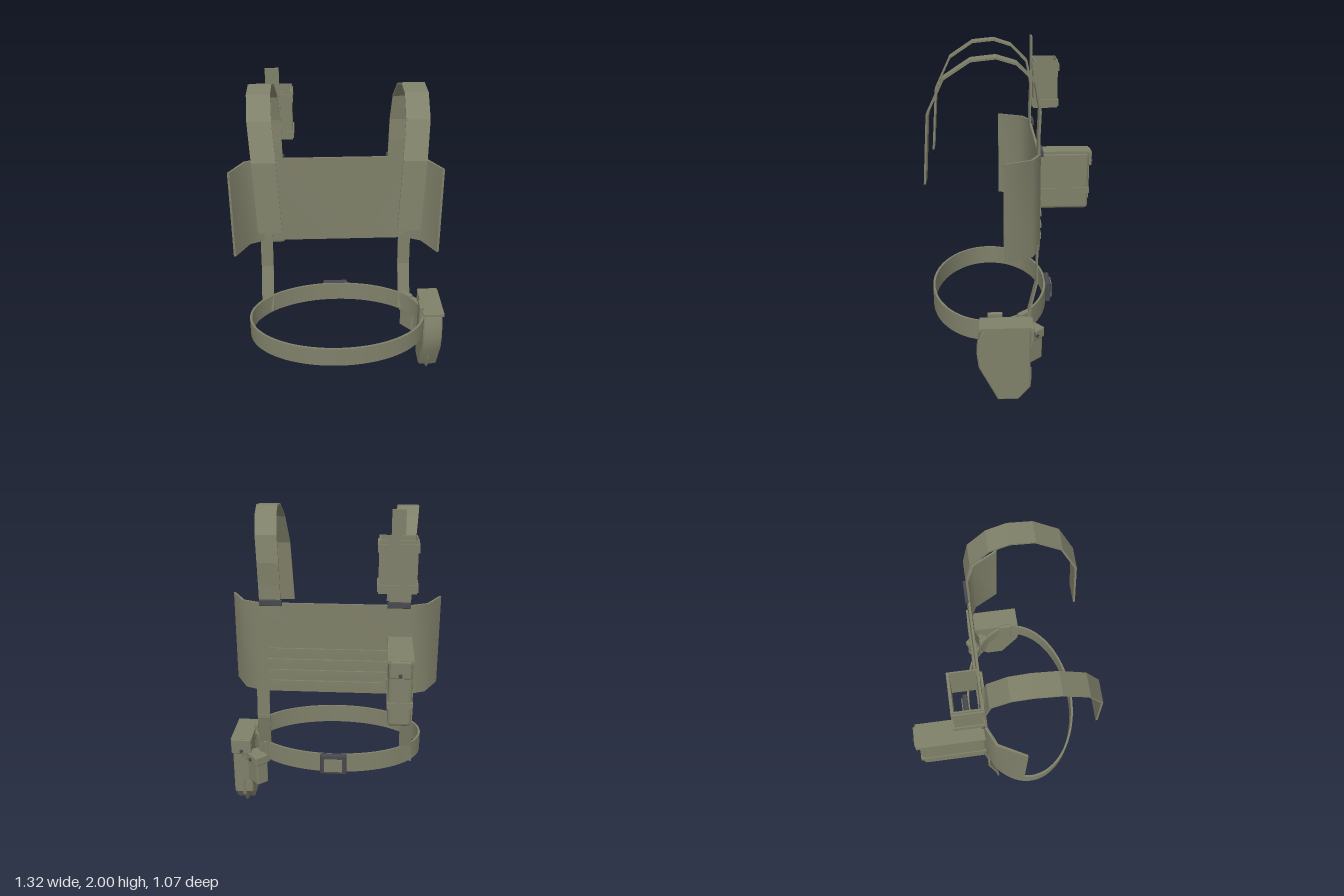
import * as THREE from 'three';
import { toCreasedNormals } from 'three/addons/utils/BufferGeometryUtils.js';
import { RoundedBoxGeometry } from 'three/addons/geometries/RoundedBoxGeometry.js';

const CX = -0.023; // mirror plane of the harness

export function createModel() {
  const model = new THREE.Group();
  const canvas = new THREE.MeshStandardMaterial({ color: 0x7f8069 });
  canvas.name = 'olive canvas';
  const metal = new THREE.MeshStandardMaterial({ color: 0x47484d });
  metal.name = 'dark metal';

  const add = (name, geometry, material = canvas, parent = model) => {
    const mesh = new THREE.Mesh(geometry, material);
    mesh.name = name;
    parent.add(mesh);
    return mesh;
  };
  const group = (name) => {
    const g = new THREE.Group();
    g.name = name;
    model.add(g);
    return g;
  };
  // Box given by its limits, optionally rounded
  const box = (name, [x0, x1], [y0, y1], [z0, z1], material, parent, radius = 0) => {
    const s = [x1 - x0, y1 - y0, z1 - z0];
    const geo = radius ? new RoundedBoxGeometry(...s, 2, radius) : new THREE.BoxGeometry(...s);
    geo.translate((x0 + x1) / 2, (y0 + y1) / 2, (z0 + z1) / 2);
    return add(name, geo, material, parent);
  };
  // Plan outline (x, -z) raised from y0 to y1
  const raise = (shape, y0, y1, crease, curveSegments = 12) => {
    const geo = new THREE.ExtrudeGeometry(shape, { depth: y1 - y0, bevelEnabled: false, curveSegments });
    geo.rotateX(-Math.PI / 2).translate(0, y0, 0);
    return toCreasedNormals(geo, crease);
  };
  // Flat webbing along [x, y, z] points, its width lying along x
  const webbing = (path, width, thick) => {
    const pos = [], index = [];
    path.forEach(([x, y, z], i) => {
      const a = path[Math.max(i - 1, 0)], b = path[Math.min(i + 1, path.length - 1)];
      const len = Math.hypot(b[1] - a[1], b[2] - a[2]);
      const ny = -(b[2] - a[2]) / len * thick / 2, nz = (b[1] - a[1]) / len * thick / 2;
      for (const [u, v] of [[-1, -1], [1, -1], [1, 1], [-1, 1]]) {
        pos.push(x + u * width / 2, y + v * ny, z + v * nz);
      }
      if (i === 0) return;
      const p = (i - 1) * 4, q = i * 4;
      for (let k = 0; k < 4; k++) {
        const n = (k + 1) % 4;
        index.push(p + k, p + n, q + n, p + k, q + n, q + k);
      }
    });
    const e = (path.length - 1) * 4;
    index.push(0, 2, 1, 0, 3, 2, e, e + 1, e + 2, e, e + 2, e + 3);
    const geo = new THREE.BufferGeometry();
    geo.setAttribute('position', new THREE.Float32BufferAttribute(pos, 3));
    // Corner order above faces inwards for an upward path, so flip it
    for (let i = 0; i < index.length; i += 3) [index[i + 1], index[i + 2]] = [index[i + 2], index[i + 1]];
    geo.setIndex(index);
    const flat = geo.toNonIndexed();
    flat.computeVertexNormals();
    return flat;
  };
  const doubleCanvas = canvas;
  doubleCanvas.side = THREE.DoubleSide;

  // Wraparound back panel
  const half = [[0.44, -0.108], [0.545, -0.06], [0.625, 0.09]];
  const outerHalf = [[0.445, -0.122], [0.555, -0.072], [0.638, 0.09]];
  const outline = [
    ...half.map(([x, z]) => [x, z]).reverse(), ...half.map(([x, z]) => [-x, z]),
    ...outerHalf.map(([x, z]) => [-x, z]).reverse(), ...outerHalf,
  ];
  const panelShape = new THREE.Shape(outline.map(([x, z]) => new THREE.Vector2(CX + x, -z)));
  add('backPanel', raise(panelShape, 0.88, 1.445, 0.8));
  [0.94, 1.01, 1.08, 1.15].forEach((y) =>
    box('panelRib', [CX - 0.4, CX + 0.4], [y - 0.015, y + 0.015], [-0.133, -0.118], canvas));

  // Shoulder straps, lower straps and strap clips: [offset from middle, y, z]
  const shoulder = [
    [0.382, 1.4, -0.113], [0.385, 1.55, -0.113], [0.388, 1.685, -0.118], [0.398, 1.84, -0.09],
    [0.41, 1.94, 0.01], [0.418, 1.974, 0.12], [0.42, 1.96, 0.255], [0.413, 1.865, 0.4],
    [0.395, 1.675, 0.492], [0.376, 1.28, 0.52],
  ];
  const lower = [[0.455, 0.375, -0.045], [0.452, 0.49, -0.06], [0.447, 0.685, -0.106], [0.443, 0.92, -0.106]];
  for (const [side, s] of [['left', 1], ['right', -1]]) {
    const place = (path) => path.map(([x, y, z]) => [CX + s * x, y, z]);
    add(side + 'ShoulderStrap', webbing(place(shoulder), 0.127, 0.012));
    add(side + 'LowerStrap', webbing(place(lower), 0.078, 0.01));
    const cx = CX + s * 0.378;
    box(side + 'StrapClip', [cx - 0.068, cx + 0.068], [1.43, 1.466], [-0.136, -0.118], metal, model, 0.004);
  }

  // Waist belt with its buckle at the back
  const beltShape = new THREE.Shape().absellipse(CX, -0.168, 0.557, 0.363, 0, Math.PI * 2);
  beltShape.holes.push(new THREE.Path().absellipse(CX, -0.168, 0.543, 0.349, 0, Math.PI * 2));
  add('waistBelt', raise(beltShape, 0.36, 0.484, 0.5, 40));
  const buckle = group('beltBuckle');
  box('buckleFrame', [-0.105, 0.06], [0.354, 0.492], [-0.224, -0.19], metal, buckle, 0.01);
  box('bucklePlate', [-0.08, 0.035], [0.38, 0.466], [-0.235, -0.215], canvas, buckle);
  box('buckleRim', [-0.084, 0.039], [0.376, 0.47], [-0.229, -0.215], metal, buckle);

  // Long closed pouch on the panel
  const pouch = group('longPouch');
  box('pouchBody', [-0.48, -0.346], [0.85, 1.243], [-0.507, -0.118], canvas, pouch, 0.022);
  box('pouchLid', [-0.485, -0.341], [1.235, 1.252], [-0.515, -0.12], canvas, pouch);
  box('pouchBand', [-0.486, -0.34], [0.96, 0.998], [-0.513, -0.12], canvas, pouch);
  box('pouchLidFlap', [-0.47, -0.352], [1.15, 1.25], [-0.527, -0.505], canvas, pouch, 0.008);
  box('pouchPull', [-0.425, -0.397], [0.91, 1.16], [-0.518, -0.505], canvas, pouch);
  const snap = new THREE.CylinderGeometry(0.011, 0.011, 0.012, 12).rotateX(Math.PI / 2);
  add('pouchSnap', snap, metal, pouch).position.set(-0.411, 1.17, -0.532);

  // Open sleeve pouch beside the shoulder
  const sleeve = (name, [x0, x1], [z0, z1], y0, y1, t) => {
    const rect = (Type, d) => new Type([[x0 + d, z0 + d], [x1 - d, z0 + d], [x1 - d, z1 - d], [x0 + d, z1 - d]]
      .map(([x, z]) => new THREE.Vector2(x, -z)));
    const shape = rect(THREE.Shape, 0);
    shape.holes.push(rect(THREE.Path, t));
    return add(name, raise(shape, y0, y1, 0.5), canvas, open);
  };
  const open = group('openPouch');
  sleeve('openPouchWall', [-0.492, -0.277], [-0.28, -0.127], 1.56, 1.86, 0.008);
  sleeve('openPouchTopBand', [-0.5, -0.27], [-0.288, -0.12], 1.795, 1.84, 0.012);
  sleeve('openPouchBottomBand', [-0.5, -0.27], [-0.288, -0.12], 1.572, 1.612, 0.012);
  box('openPouchTab', [-0.425, -0.345], [1.6, 2.0], [-0.123, -0.111], canvas, open);

  // Holster: side profile in (z, y), extruded across x
  const holster = group('holster');
  const profile = (points, x0, x1) => {
    const shape = new THREE.Shape(points.map(([z, y]) => new THREE.Vector2(-z, y)));
    const bevel = 0.008;
    const geo = new THREE.ExtrudeGeometry(shape, {
      depth: x1 - x0 - 2 * bevel, bevelThickness: bevel, bevelSize: bevel, bevelOffset: -bevel, bevelSegments: 1,
    });
    return toCreasedNormals(geo.rotateY(Math.PI / 2).translate(x0 + bevel, 0, 0), 0.4);
  };
  add('holsterBody', profile([
    [0.21, 0.488], [0.238, 0.42], [0.25, 0.335], [0.24, 0.245], [0.13, 0.025], [0.01, 0.025], [-0.06, 0.105], [-0.06, 0.488],
  ], 0.525, 0.648), canvas, holster);
  add('holsterWelt', profile([
    [0.19, 0.2], [0.185, 0.11], [0.13, 0], [0.005, 0], [-0.068, 0.085], [-0.068, 0.2],
  ], 0.572, 0.592), canvas, holster);
  box('holsterLid', [0.521, 0.656], [0.484, 0.501], [-0.065, 0.232], canvas, holster);
  box('holsterLidFlap', [0.523, 0.654], [0.4, 0.5], [-0.079, -0.06], canvas, holster, 0.007);
  box('holsterPull', [0.575, 0.601], [0.35, 0.42], [-0.072, -0.058], canvas, holster);
  add('holsterSnap', snap, metal, holster).position.set(0.588, 0.42, -0.083);
  box('holsterBeltLoop', [0.503, 0.527], [0.34, 0.527], [0.097, 0.185], canvas, holster, 0.006);

  // Small pouch, turned to sit square on the belt
  const small = group('smallPouch');
  box('smallPouchBody', [-0.06, 0.06], [0.2, 0.4], [-0.045, 0.042], canvas, small, 0.014);
  box('smallPouchLid', [-0.066, 0.066], [0.345, 0.41], [-0.045, 0.052], canvas, small, 0.01);
  box('smallPouchBeltLoop', [-0.045, 0.045], [0.34, 0.495], [-0.07, -0.035], canvas, small, 0.006);
  add('smallPouchSnap', snap, metal, small).position.set(0, 0.375, 0.054);
  small.position.set(0.485, 0, -0.07);
  small.rotation.y = Math.atan2(0.755, -0.656);

  return model;
}
